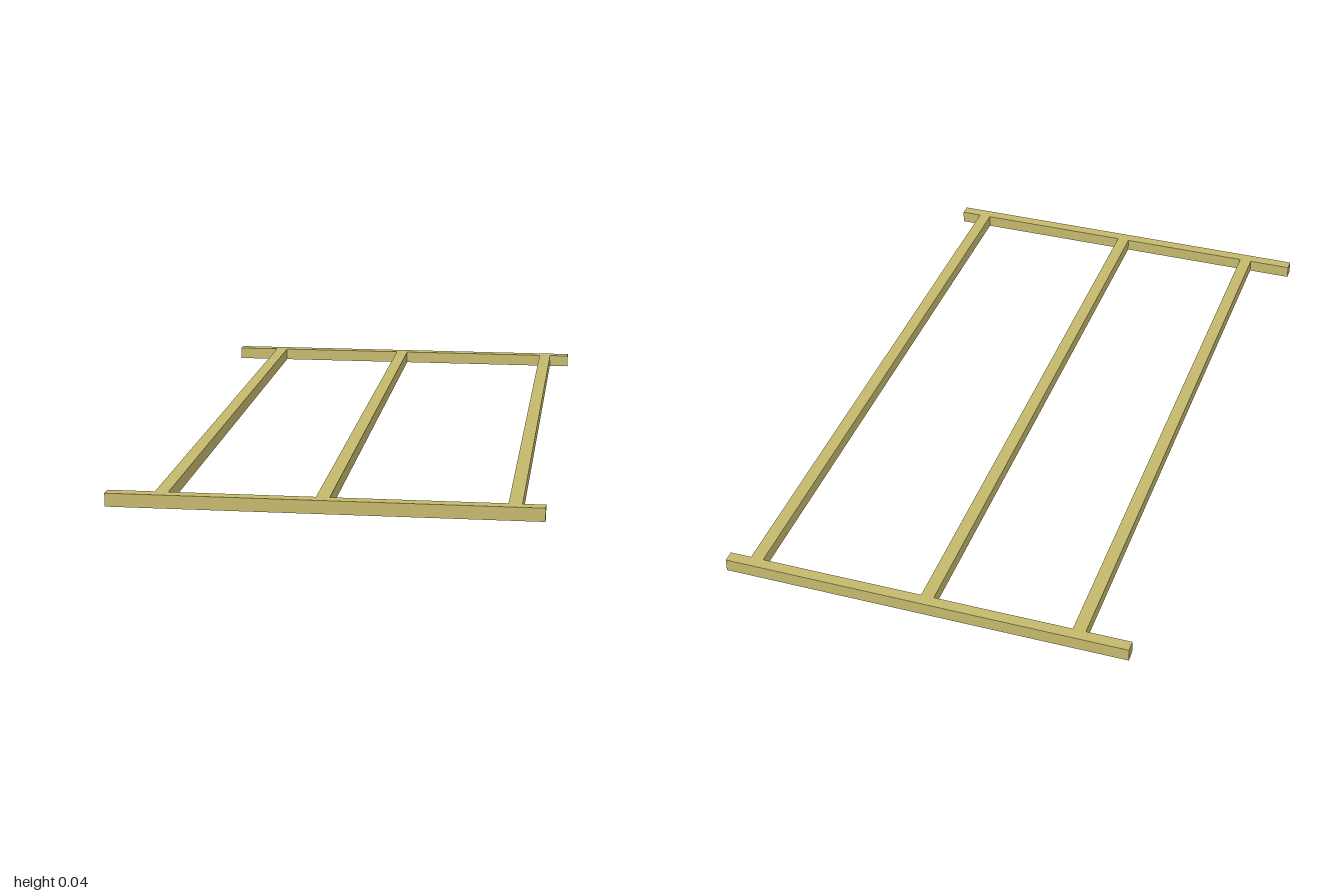
import * as THREE from 'three';

const HEIGHT = 0.037;
const HALF_WIDTH = 0.585;
const BAR_DEPTH = 0.034;
const RAIL_WIDTH = 0.037;

export function createModel() {
  const model = new THREE.Group();
  model.name = 'frame';
  const wood = new THREE.MeshStandardMaterial({ color: 0xc4b86c });
  wood.name = 'pale olive wood';

  const beam = (name, width, depth, x, z) => {
    const mesh = new THREE.Mesh(new THREE.BoxGeometry(width, HEIGHT, depth), wood);
    mesh.name = name;
    mesh.position.set(x, HEIGHT / 2, z);
    model.add(mesh);
  };

  // Cross bars closing the two ends
  const barZ = 1 - BAR_DEPTH / 2;
  beam('frontCrossBar', HALF_WIDTH * 2, BAR_DEPTH, 0, barZ);
  beam('backCrossBar', HALF_WIDTH * 2, BAR_DEPTH, 0, -barZ);

  // Long rails butted between the cross bars, unevenly spaced
  const rails = { rightRail: -0.437, middleRail: -0.003, leftRail: 0.505 };
  for (const [name, x] of Object.entries(rails)) {
    beam(name, RAIL_WIDTH, 2 - BAR_DEPTH * 2, x, 0);
  }

  return model;
}
